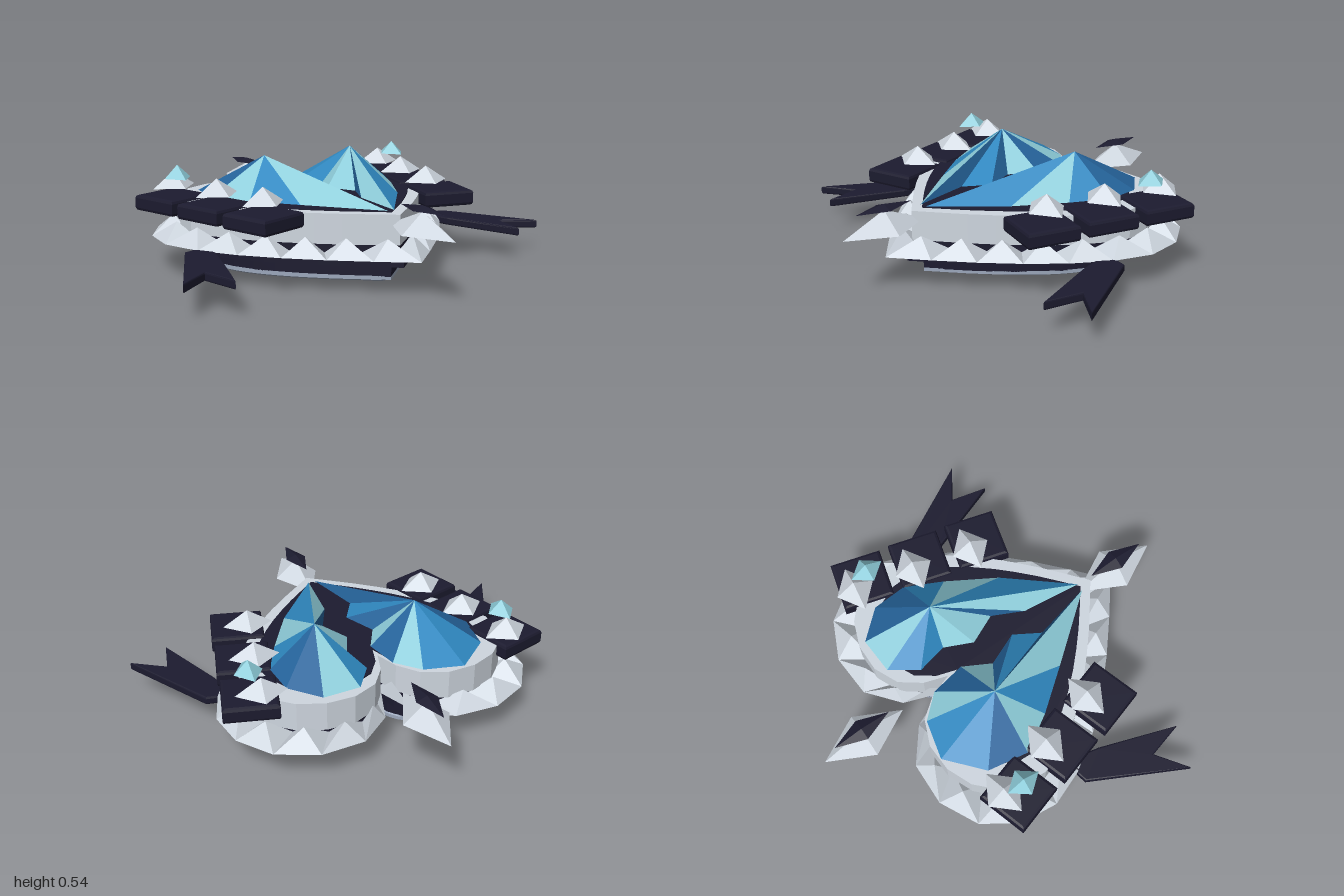
import * as THREE from 'three';
import { mergeGeometries } from 'three/addons/utils/BufferGeometryUtils.js';

const mat = (name, color) => {
  const m = new THREE.MeshStandardMaterial({ color, flatShading: true });
  m.name = name;
  return m;
};

// Right half of a heart, cleft to tip, x 0..1 and z -1..1
const half = new THREE.CatmullRomCurve3([
  [0, -0.52], [0.09, -0.79], [0.23, -0.94], [0.43, -1], [0.65, -0.96], [0.85, -0.82], [0.975, -0.585],
  [1, -0.36], [0.9, -0.05], [0.7, 0.27], [0.38, 0.64], [0, 1],
].map(([x, z]) => new THREE.Vector3(x, 0, z)));

// Closed heart outline as [x, z] pairs
function heart(w, zMin, zMax, n = 16) {
  const c = (zMin + zMax) / 2, h = (zMax - zMin) / 2;
  const right = half.getSpacedPoints(n).map((p) => [p.x * w, c + p.z * h]);
  const left = right.slice(1, -1).reverse().map(([x, z]) => [-x, z]);
  return [...right, ...left];
}

// Upright slab from an [x, z] outline, with an optional hole
function slab(outline, y0, y1, hole, bevel = 0) {
  const toV = ([x, z]) => new THREE.Vector2(x, -z);
  const shape = new THREE.Shape(outline.map(toV));
  if (hole) shape.holes.push(new THREE.Path(hole.map(toV)));
  const geo = new THREE.ExtrudeGeometry(shape, {
    depth: y1 - y0 - 2 * bevel, bevelEnabled: bevel > 0, bevelSize: bevel,
    bevelThickness: bevel, bevelOffset: -bevel, bevelSegments: 2,
  });
  return geo.rotateX(-Math.PI / 2).translate(0, y0 + bevel, 0);
}

// Faceted point over a star-shaped base; base corners are [x, y, z]
function spike(base, apex, facetMaterials) {
  const [a, b] = base;
  const up = (b[2] - a[2]) * (apex[0] - a[0]) - (b[0] - a[0]) * (apex[2] - a[2]) > 0;
  const y = base.reduce((s, p) => s + p[1], 0) / base.length;
  const foot = [apex[0], y, apex[2]];
  const pos = [], geo = new THREE.BufferGeometry();
  base.forEach((p, i) => {
    const q = base[(i + 1) % base.length];
    const [s, t] = up ? [p, q] : [q, p];
    pos.push(...s, ...t, ...apex, ...t, ...s, ...foot);
    if (facetMaterials) geo.addGroup(i * 6, 6, facetMaterials[i]);
  });
  geo.setAttribute('position', new THREE.Float32BufferAttribute(pos, 3));
  geo.computeVertexNormals();
  return geo;
}

// Four-cornered diamond point
const diamond = (x, z, rx, rz, y0, y1) =>
  spike([[x + rx, y0, z], [x, y0, z + rz], [x - rx, y0, z], [x, y0, z - rz]], [x, y1, z]);

export function createModel() {
  const model = new THREE.Group();
  model.name = 'heartBrooch';
  const silver = mat('silver', 0xced6df);
  const steel = mat('steel', 0x9ba7bb);
  const dark = mat('midnight', 0x1c1b2f);
  const ice = mat('iceBlue', 0x8ecdda);
  const blue = mat('gemBlue', 0x2f88c0);
  const deep = mat('deepBlue', 0x25639a);
  const add = (name, geo, material, parent = model) => {
    const m = new THREE.Mesh(geo, material);
    m.name = name;
    parent.add(m);
    return m;
  };

  // Stacked heart body
  add('baseRim', slab(heart(0.53, -0.44, 0.53), 0.038, 0.055, heart(0.505, -0.415, 0.5)), steel);
  add('baseLayer', slab(heart(0.53, -0.44, 0.53), 0.052, 0.12), dark);
  add('middleLayer', slab(heart(0.63, -0.52, 0.62), 0.115, 0.165), dark);
  add('neck', slab(heart(0.6, -0.49, 0.56), 0.16, 0.22), dark);
  add('heartWall', slab(heart(0.645, -0.53, 0.59), 0.21, 0.35), silver);
  add('heartFloor', slab(heart(0.54, -0.44, 0.53), 0.345, 0.355), dark);

  // Rounded bead following the underside
  const bead = new THREE.CatmullRomCurve3(
    heart(0.495, -0.405, 0.48).map(([x, z]) => new THREE.Vector3(x, 0.04, z)), true);
  add('baseBead', new THREE.TubeGeometry(bead, 72, 0.018, 6, true), steel);

  // Ring of pointed teeth around the heart
  const outer = heart(0.77, -0.635, 0.74, 12), inner = heart(0.6, -0.49, 0.56, 12);
  const teeth = outer.map((o, i) => {
    const j = (i + 1) % outer.length;
    const corners = [o, outer[j], inner[j], inner[i]];
    const mid = [0, 1].map((k) => corners.reduce((s, c) => s + c[k] / 4, 0));
    return spike(corners.map(([x, z]) => [x, 0.165, z]), [mid[0], 0.25, mid[1]]);
  });
  add('toothRing', mergeGeometries(teeth), silver);

  // Two halves of the cracked gem; facet numbers pick ice, blue or deep
  const gemMats = [ice, blue, deep];
  const gem = (name, outline, apex, facets) =>
    add(name, spike(outline.map(([x, z]) => [x, 0.358, z]), apex, facets), gemMats);
  gem('rightGemHalf', [
    [-0.316, -0.519], [-0.128, -0.47], [-0.03, -0.36], [0, -0.187], [-0.075, -0.053], [-0.01, 0.107],
    [-0.086, 0.23], [-0.02, 0.524], [-0.27, 0.2], [-0.42, 0], [-0.524, -0.176], [-0.487, -0.374],
  ], [-0.24, 0.535, -0.16], [1, 0, 2, 0, 2, 1, 2, 0, 1, 0, 2, 1]);
  gem('leftGemHalf', [
    [0.19, -0.48], [0.37, -0.487], [0.49, -0.35], [0.5, -0.176], [0.41, 0], [0.27, 0.23],
    [0.016, 0.524], [0.053, 0.23], [0.128, 0.08], [0.064, -0.064], [0.128, -0.2], [0.096, -0.35],
  ], [0.273, 0.535, -0.166], [0, 2, 2, 1, 0, 1, 0, 2, 0, 0, 1, 1]);

  // Side plates, spikes, crystals and forked tails, mirrored
  for (const s of [1, -1]) {
    const side = new THREE.Group();
    side.name = s > 0 ? 'leftSide' : 'rightSide';
    model.add(side);
    for (let i = 0; i < 3; i++) {
      const x = 0.65 - 0.073 * i, z = -0.32 + 0.29 * i, h = 0.126;
      const plate = add('sidePlate', slab([[-h, -h], [h, -h], [h, h], [-h, h]], 0.29, 0.366, null, 0.015), dark, side);
      plate.position.set(s * x, 0, z);
      plate.rotation.y = -s * 0.28;
      const point = add('plateSpike', diamond(0, 0, 0.118, 0.095, 0.39, 0.465), silver, side);
      point.position.set(s * (x - 0.035), 0, z - 0.06);
      point.rotation.y = -s * 0.14;
    }
    add('smallCrystal', diamond(s * 0.64, -0.29, 0.067, 0.085, 0.448, 0.51), ice, side);
    const tail = [[0.76, 0], [1, 0.45], [0.845, 0.345], [0.8, 0.525], [0.665, 0.15], [0.635, 0.02], [0.71, -0.01]];
    add('forkedTail', slab(tail.map(([x, z]) => [s * x, z]), 0.128, 0.168, null, 0.008), dark, side);
  }

  // Floating diamonds at the tip and behind the cleft
  for (const [name, z] of [['front', 0.738], ['back', -0.742]]) {
    add(name + 'Diamond', diamond(0, z, 0.113, 0.218, 0.3, 0.392), silver);
    add(name + 'DiamondInlay', diamond(0, z, 0.053, 0.148, 0.4, 0.42), dark);
  }

  // Hexagonal clasp underneath with four ball-ended arms
  const hex = add('claspRing', new THREE.TorusGeometry(0.195, 0.018, 6, 6).rotateX(Math.PI / 2), steel);
  hex.position.y = 0.018;
  add('claspGem', new THREE.CylinderGeometry(0.15, 0.13, 0.03, 6), ice).position.y = 0.04;
  for (const [x, z] of [[0.305, -0.255], [-0.305, -0.255], [0.155, 0.235], [-0.155, 0.235]]) {
    const k = 0.18 / Math.hypot(x, z);
    const path = new THREE.LineCurve3(new THREE.Vector3(x * k, 0.02, z * k), new THREE.Vector3(x, 0.02, z));
    add('claspArm', new THREE.TubeGeometry(path, 1, 0.017, 6), steel);
    add('claspBall', new THREE.SphereGeometry(0.026, 8, 6), steel).position.set(x, 0.026, z);
  }
  return model;
}
